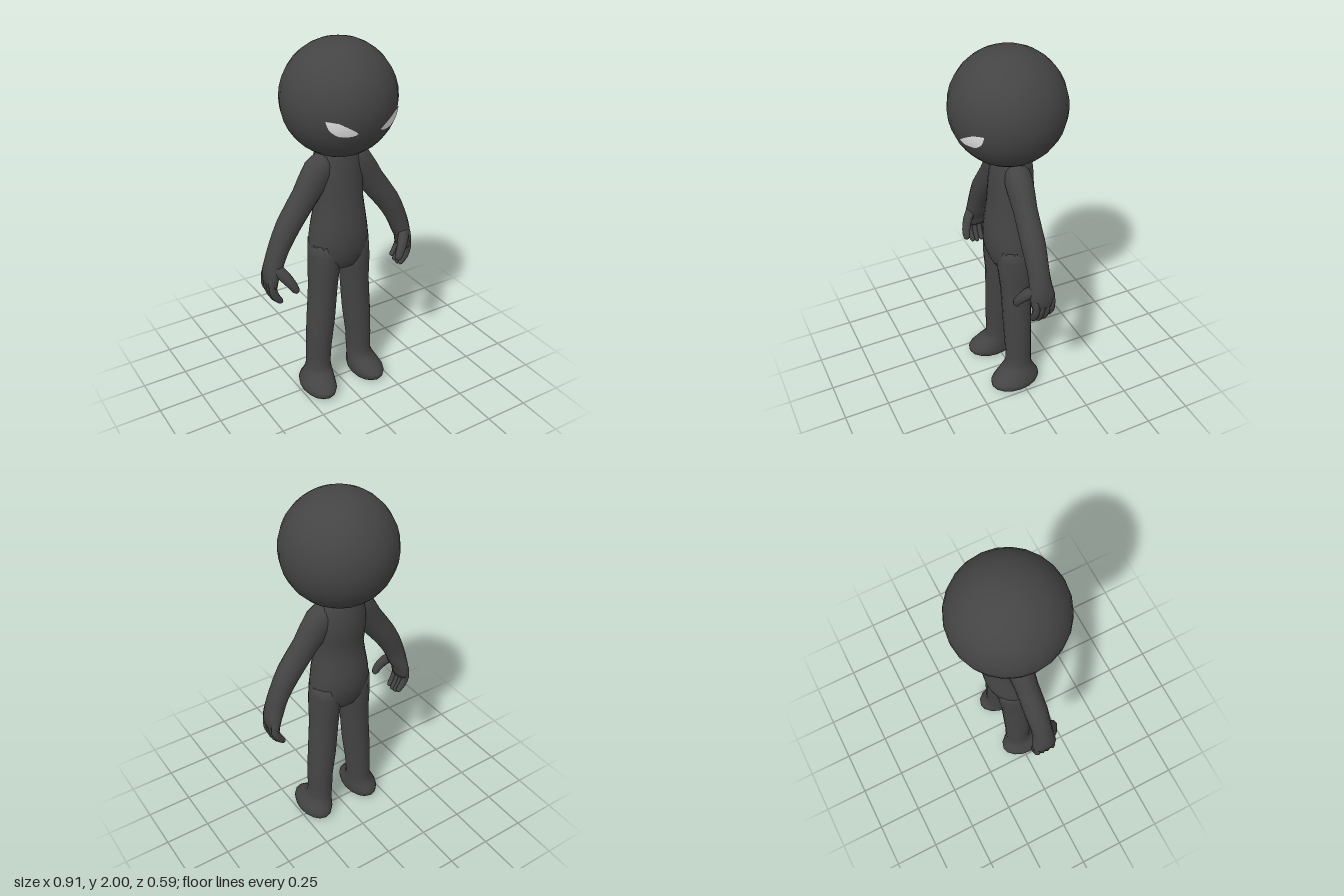
import * as THREE from 'three';

const V = (x, y, z) => new THREE.Vector3(x, y, z);
const HEAD_Y = 1.705, HEAD_R = 0.295;

// Joins closed rings of points into one smooth surface.
function skin(rings) {
  const n = rings[0].length, index = [];
  for (let i = 0; i < rings.length - 1; i++) {
    for (let j = 0; j < n; j++) {
      const k = (j + 1) % n;
      const a = i * n + j, b = i * n + k, c = a + n, d = b + n;
      index.push(a, b, c, b, d, c);
    }
  }
  const geo = new THREE.BufferGeometry().setFromPoints(rings.flat());
  geo.setIndex(index);
  geo.computeVertexNormals();
  return geo;
}

// Lofts oval sections [x, y, z, rx, rz]; level keeps every section horizontal.
function loft(sections, { side = 1, level = false, sides = 14, steps = 2 } = {}) {
  const path = new THREE.CatmullRomCurve3(sections.map(s => V(s[0] * side, s[1], s[2])));
  const size = new THREE.CatmullRomCurve3(sections.map(s => V(s[3], s[4], 0)), false, 'catmullrom', 0.4);
  const count = (sections.length - 1) * steps, rings = [];
  for (let i = 0; i <= count; i++) {
    const p = path.getPoint(i / count), r = size.getPoint(i / count);
    const t = level ? V(0, -1, 0) : path.getTangent(i / count);
    const u = V(0, 0, 1).cross(t).normalize(), w = t.clone().cross(u);
    const ring = [];
    for (let j = 0; j < sides; j++) {
      const a = j / sides * Math.PI * 2;
      ring.push(p.clone().addScaledVector(u, r.x * Math.cos(a)).addScaledVector(w, r.y * Math.sin(a)));
    }
    rings.push(ring);
  }
  // close both ends
  const cap = ring => {
    const c = ring.reduce((s, p) => s.add(p), V(0, 0, 0)).divideScalar(sides);
    return ring.map(() => c.clone());
  };
  return skin([cap(rings[0]), ...rings, cap(rings[count])]);
}

// Slanted eye patch wrapped onto the front of the head.
function eyeGeometry(side) {
  const outline = [[0.205, 1.685], [0.16, 1.68], [0.10, 1.648], [0.06, 1.617],
    [0.09, 1.601], [0.15, 1.606], [0.188, 1.637]].map(p => V(p[0] * side, p[1], 0));
  if (side < 0) outline.reverse();
  const edge = new THREE.CatmullRomCurve3(outline, true, 'catmullrom', 0.3).getPoints(28).slice(0, 28);
  const centre = V(0.14 * side, 1.64, 0), r = HEAD_R + 0.004;
  const rings = [1, 0.75, 0.5, 0.25, 0].map(k => edge.map(p => {
    const q = centre.clone().lerp(p, k);
    q.z = Math.sqrt(r * r - q.x * q.x - (q.y - HEAD_Y) ** 2);
    return q;
  }));
  return skin(rings);
}

export function createModel() {
  const model = new THREE.Group();
  const charcoal = new THREE.MeshStandardMaterial({ color: 0x444444 });
  charcoal.name = 'charcoal';
  const white = new THREE.MeshStandardMaterial({ color: 0xe6e6e6 });
  white.name = 'eye white';
  const add = (name, geo, mat = charcoal, parent = model) => {
    const mesh = new THREE.Mesh(geo, mat);
    mesh.name = name;
    parent.add(mesh);
    return mesh;
  };

  add('head', new THREE.SphereGeometry(HEAD_R, 24, 18)).position.y = HEAD_Y;

  // Torso from neck to crotch
  add('torso', loft([
    [0, 1.46, -0.02, 0.09, 0.085],
    [0, 1.40, -0.02, 0.125, 0.10],
    [0, 1.28, -0.015, 0.14, 0.112],
    [0, 1.15, 0, 0.138, 0.108],
    [0, 1.02, -0.002, 0.158, 0.128],
    [0, 0.92, -0.003, 0.172, 0.13],
    [0, 0.84, 0, 0.165, 0.112],
    [0, 0.78, 0, 0.11, 0.085],
    [0, 0.755, 0, 0.04, 0.04],
  ], { level: true, sides: 20 }));

  for (const side of [1, -1]) {
    const label = side > 0 ? 'left' : 'right';
    add(label + 'Eye', eyeGeometry(side), white);

    // Leg widening into a rounded foot
    add(label + 'Leg', loft([
      [0.09, 0.93, -0.005, 0.08, 0.10],
      [0.093, 0.80, 0, 0.085, 0.10],
      [0.10, 0.66, 0, 0.08, 0.086],
      [0.115, 0.45, 0, 0.08, 0.08],
      [0.13, 0.28, 0, 0.072, 0.076],
      [0.135, 0.15, 0, 0.07, 0.075],
      [0.145, 0.105, 0.014, 0.08, 0.098],
      [0.158, 0.055, 0.032, 0.092, 0.144],
      [0.16, 0.02, 0.032, 0.088, 0.138],
      [0.16, 0, 0.03, 0.072, 0.115],
    ], { side, level: true, sides: 16 }));

    const arm = new THREE.Group();
    arm.name = label + 'Arm';
    model.add(arm);

    // Shoulder to palm
    add(label + 'Forearm', loft([
      [0.06, 1.40, -0.01, 0.05, 0.06],
      [0.115, 1.335, -0.005, 0.085, 0.07],
      [0.20, 1.215, 0, 0.073, 0.06],
      [0.30, 1.08, 0.005, 0.066, 0.062],
      [0.365, 0.96, 0.008, 0.056, 0.056],
      [0.395, 0.88, 0.008, 0.05, 0.06],
      [0.415, 0.82, 0.005, 0.038, 0.068],
      [0.415, 0.765, 0.003, 0.026, 0.06],
    ], { side }), charcoal, arm);

    // Four curled fingers
    for (let i = 0; i < 4; i++) {
      const z = 0.046 - i * 0.029, lift = [0.008, 0, 0.004, 0.02][i];
      add(label + 'Finger' + (i + 1), loft([
        [0.42, 0.82, z, 0.024, 0.018],
        [0.424, 0.76, z, 0.023, 0.018],
        [0.408, 0.70 + lift, z, 0.021, 0.017],
        [0.38, 0.664 + lift, z * 0.95, 0.016, 0.014],
        [0.372, 0.657 + lift, z * 0.95, 0.008, 0.008],
      ], { side, sides: 8 }), charcoal, arm);
    }

    // Thumb reaching forward and inward
    add(label + 'Thumb', loft([
      [0.405, 0.88, 0.03, 0.03, 0.03],
      [0.37, 0.835, 0.075, 0.031, 0.027],
      [0.338, 0.785, 0.10, 0.025, 0.024],
      [0.32, 0.75, 0.105, 0.02, 0.02],
      [0.314, 0.737, 0.105, 0.01, 0.01],
    ], { side, sides: 8 }), charcoal, arm);
  }
  return model;
}
